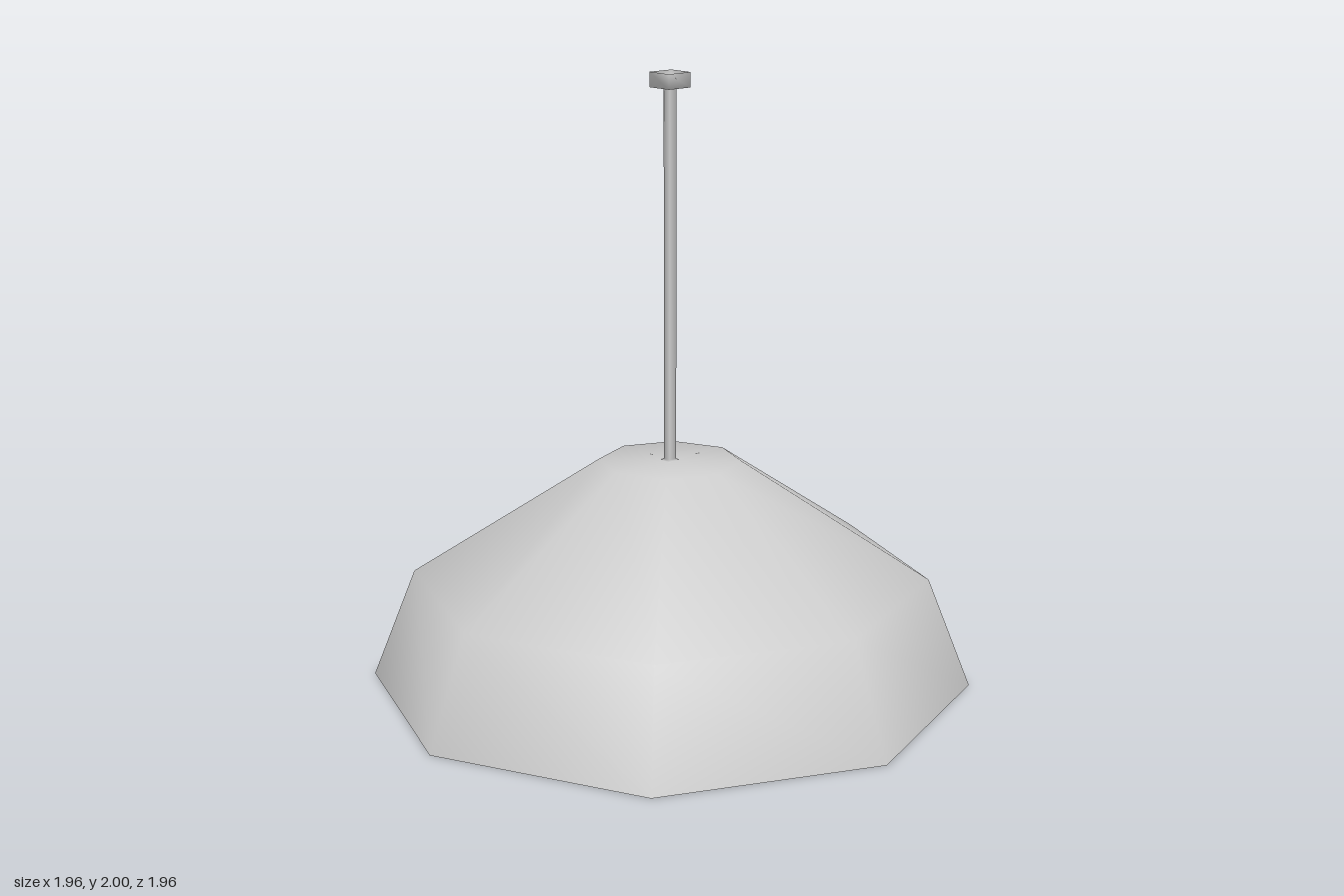
import * as THREE from 'three';

const material = new THREE.MeshStandardMaterial({ color: 0xcccccc, side: THREE.DoubleSide });

// Smooth turned part; profile is [radius, y] from bottom to top.
function turned(name, profile, sides, turn = 0) {
  const points = profile.map(([r, y]) => new THREE.Vector2(r, y));
  const mesh = new THREE.Mesh(new THREE.LatheGeometry(points, sides, turn), material);
  mesh.name = name;
  return mesh;
}

export function createModel() {
  const group = new THREE.Group();
  group.name = 'pendantLamp';

  // Thin eight-sided shade, open below
  group.add(turned('shade', [[0.98, 0], [0.84, 0.36], [0.23, 0.75], [0, 0.75]], 8));

  // Square rod, flaring at the top into an open square ceiling cup
  const corner = Math.SQRT2;
  group.add(turned('rodAndCeilingCup', [
    [0.022 * corner, 0.75], [0.014 * corner, 0.755], [0.014 * corner, 1.952],
    [0.045 * corner, 1.952], [0.045 * corner, 2],
  ], 4, Math.PI / 4));

  // Short stem holding the bulb under the shade
  group.add(turned('bulbStem', [[0.02, 0.62], [0.02, 0.75]], 4, Math.PI / 4));

  // Bulb
  const bulb = new THREE.Mesh(new THREE.SphereGeometry(0.11, 8, 6), material);
  bulb.name = 'bulb';
  bulb.position.y = 0.55;
  group.add(bulb);

  return group;
}
